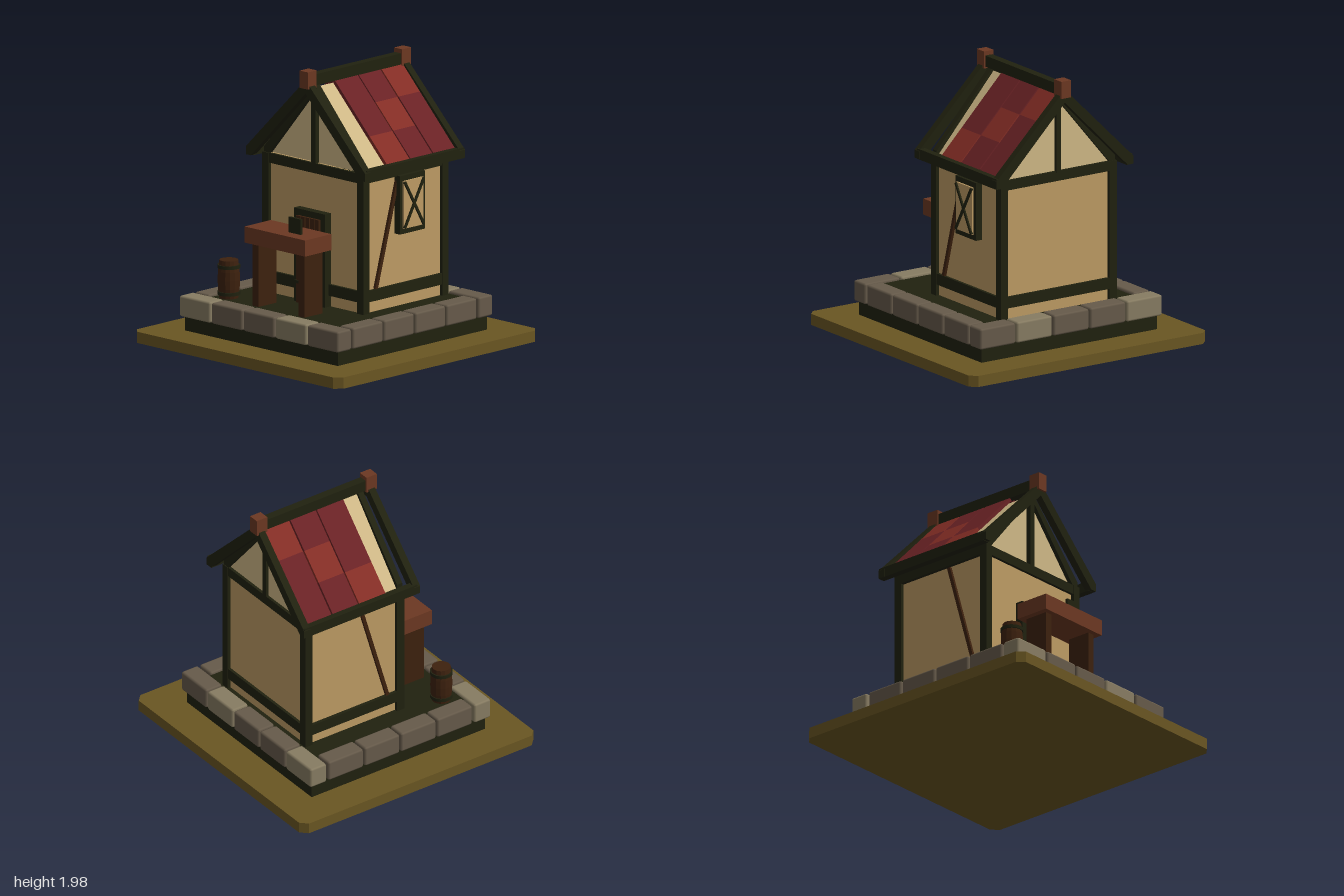
import * as THREE from 'three';
import { RoundedBoxGeometry } from 'three/addons/geometries/RoundedBoxGeometry.js';

const material = (name, color) => {
  const m = new THREE.MeshStandardMaterial({ color });
  m.name = name;
  return m;
};

export function createModel() {
  const model = new THREE.Group();
  model.name = 'timberHouse';

  const earth = material('olive earth', 0x6a5622);
  const timber = material('dark timber', 0x20210f);
  const plaster = material('tan plaster', 0xbd9b64);
  const cream = material('cream plaster', 0xcfb886);
  const stone = material('grey stone', 0x665a4a);
  const paleStone = material('pale stone', 0x877c62);
  const darkRed = material('dark red tile', 0x6a2225);
  const red = material('red tile', 0x842d25);
  const wood = material('reddish wood', 0x6c3822);
  const brown = material('dark brown wood', 0x3d210e);

  const add = (name, geometry, mat, parent = model) => {
    const mesh = new THREE.Mesh(geometry, mat);
    mesh.name = name;
    parent.add(mesh);
    return mesh;
  };
  // Box given by its limits on each axis
  const box = (name, mat, x0, x1, y0, y1, z0, z1, parent) => {
    const mesh = add(name, new THREE.BoxGeometry(x1 - x0, y1 - y0, z1 - z0), mat, parent);
    mesh.position.set((x0 + x1) / 2, (y0 + y1) / 2, (z0 + z1) / 2);
    return mesh;
  };
  // Outline in x and y, extruded from z0 to z1
  const prism = (name, mat, points, z0, z1) => {
    const shape = new THREE.Shape(points.map(([x, y]) => new THREE.Vector2(x, y)));
    const mesh = add(name, new THREE.ExtrudeGeometry(shape, { depth: z1 - z0, bevelEnabled: false }), mat);
    mesh.position.z = z0;
    return mesh;
  };

  // Ground slab with cut corners
  const c = 0.95;
  const slab = prism('groundSlab', earth,
    [[-c, -1], [c, -1], [1, -c], [1, c], [c, 1], [-c, 1], [-1, c], [-1, -c]], 0, 0.08);
  slab.rotation.x = -Math.PI / 2;

  // Plinth, yard floor and the ring of kerb stones
  box('plinth', timber, -0.74, 0.74, 0.08, 0.18, -0.74, 0.74);
  box('yardFloor', timber, -0.635, 0.635, 0.295, 0.31, -0.635, 0.635);
  const kerb = (mat, x, z, w, d) => {
    const mesh = add('kerbStone', new RoundedBoxGeometry(w, 0.15, d, 1, 0.015), mat);
    mesh.position.set(x, 0.255, z);
  };
  for (const s of [-1, 1]) {
    for (let i = 0; i < 5; i++) kerb(i % 3 ? stone : paleStone, (i - 2) * 0.31, s * 0.7, 0.297, 0.138);
    for (let i = 0; i < 4; i++) kerb(stone, s * 0.7, (i - 1.5) * 0.31, 0.135, 0.297);
  }

  // Walls and timber frame
  const front = 0.23, back = -0.615;
  box('walls', plaster, -0.465, 0.465, 0.31, 1.31, -0.59, 0.205);
  for (const s of [-1, 1]) {
    const [xa, xb] = s > 0 ? [0.43, 0.49] : [-0.49, -0.43];
    box('cornerPost', timber, xa, xb, 0.3, 1.31, front - 0.06, front);
    box('cornerPost', timber, xa, xb, 0.3, 1.31, back, back + 0.06);
    for (const [y0, y1] of [[0.39, 0.47], [1.24, 1.31]]) {
      box('sideBeam', timber, xa, xb - (s > 0 ? 0.004 : 0), y0, y1, back + 0.05, front - 0.05);
    }
    // Diagonal brace
    const brace = add('wallBrace', new THREE.BoxGeometry(0.03, 0.79, 0.026), brown);
    brace.position.set(s * 0.47, 0.85, -0.015);
    brace.rotation.x = -0.28;
  }
  for (const [z0, z1] of [[front - 0.05, front - 0.004], [back + 0.004, back + 0.05]]) {
    box('lowerBeam', timber, -0.44, 0.44, 0.39, 0.47, z0, z1);
    box('upperBeam', timber, -0.485, 0.485, 1.24, 1.31, z0, z1);
  }

  // Gable and roof core, with king posts and inner rafters
  prism('gableRoofCore', cream, [[-0.475, 1.31], [0.475, 1.31], [0, 1.85]], -0.59, 0.19);
  const chevron = (name, x, y, top, inX, inY, inTop, z0, z1) => prism(name, timber, [
    [-x, y], [-x, inY], [-inX, inY], [0, inTop], [inX, inY], [x, inY], [x, y], [0, top],
  ], z0, z1);
  chevron('innerRafters', 0.48, 1.35, 1.88, 0.43, 1.31, 1.82, 0.175, 0.22);
  chevron('innerRafters', 0.48, 1.35, 1.88, 0.43, 1.31, 1.82, -0.61, -0.575);
  box('kingPost', timber, -0.02, 0.02, 1.3, 1.83, 0.18, 0.225);
  box('kingPost', timber, -0.02, 0.02, 1.3, 1.83, -0.612, -0.57);

  // Barge boards, eaves, ridge beam and end blocks
  chevron('bargeBoard', 0.578, 1.345, 1.915, 0.53, 1.288, 1.82, 0.25, 0.303);
  chevron('bargeBoard', 0.578, 1.345, 1.915, 0.53, 1.288, 1.82, -0.688, -0.635);
  box('ridgeBeam', timber, -0.03, 0.03, 1.87, 1.95, -0.64, 0.27);
  for (const s of [-1, 1]) {
    const eave = box('eaveBeam', timber, -0.025, 0.025, 1.285, 1.36, -0.685, 0.28);
    eave.position.x = s * 0.55;
  }
  box('ridgeBlock', wood, -0.04, 0.04, 1.857, 1.98, 0.232, 0.32);
  box('ridgeBlock', wood, -0.04, 0.04, 1.857, 1.98, -0.705, -0.615);

  // Roof tiles: three strips of three on each slope
  const pitch = Math.atan2(0.52, 0.51);
  const strips = [[-0.185, 0.04], [-0.41, -0.195], [-0.633, -0.422]];
  for (const s of [-1, 1]) {
    strips.forEach(([z0, z1], col) => {
      for (let row = 0; row < 3; row++) {
        const t = (row + 0.5) / 3;
        const tile = add('roofTile', new THREE.BoxGeometry(0.243, 0.025, z1 - z0),
          row === 2 - col ? red : darkRed);
        tile.position.set(s * (0.015 + 0.51 * t), 1.868 - 0.52 * t, (z0 + z1) / 2);
        tile.rotation.z = -s * pitch;
      }
    });
  }

  // Window on the left wall
  const win = new THREE.Group();
  win.name = 'window';
  win.position.set(0, 1.038, -0.228);
  model.add(win);
  for (const s of [-1, 1]) {
    const za = s > 0 ? 0.095 : -0.123;
    box('windowJamb', timber, 0.46, 0.517, -0.208, 0.208, za, za + 0.028, win);
    const ya = s > 0 ? 0.17 : -0.208;
    box('windowRail', timber, 0.46, 0.517, ya, ya + 0.038, -0.1, 0.1, win);
    const bar = box('windowCrossBar', timber, 0.525, 0.542, -0.19, 0.19, -0.009, 0.009, win);
    bar.rotation.x = s * 0.52;
  }
  box('windowPane', plaster, 0.46, 0.53, -0.17, 0.17, -0.096, 0.096, win);

  // Plank door with frame, straps and handle
  box('doorBacking', timber, -0.115, 0.115, 0.3, 0.93, 0.2, 0.265);
  box('doorLintel', timber, -0.15, 0.15, 0.93, 0.975, 0.2, 0.265);
  box('doorJamb', timber, -0.15, -0.113, 0.3, 0.94, 0.2, 0.265);
  box('doorJamb', timber, 0.113, 0.15, 0.3, 0.94, 0.2, 0.265);
  for (let i = -2; i <= 2; i++) {
    box('doorPlank', brown, i * 0.045 - 0.018, i * 0.045 + 0.018, 0.3, 0.93, 0.26, 0.285);
  }
  for (const y of [0.46, 0.82]) box('doorStrap', timber, -0.112, 0.112, y - 0.011, y + 0.011, 0.28, 0.297);
  box('doorHandle', timber, 0.053, 0.078, 0.605, 0.66, 0.28, 0.315);

  // Table with a small upright plate
  box('tableTop', wood, -0.293, 0.293, 0.76, 0.875, 0.345, 0.607);
  box('tableLeg', brown, -0.25, -0.195, 0.3, 0.77, 0.39, 0.57);
  box('tableLeg', brown, 0.195, 0.25, 0.3, 0.77, 0.39, 0.57);
  box('tablePlate', timber, 0.042, 0.157, 0.87, 0.985, 0.493, 0.513);

  // Barrel
  const barrel = new THREE.Group();
  barrel.name = 'barrel';
  barrel.position.set(-0.54, 0.3, 0.51);
  model.add(barrel);
  const profile = [[0, 0], [0.066, 0], [0.076, 0.08], [0.078, 0.14], [0.076, 0.2], [0.066, 0.28], [0, 0.28]];
  add('barrelBody', new THREE.LatheGeometry(profile.map(([r, y]) => new THREE.Vector2(r, y)), 14), brown, barrel)
    .geometry = new THREE.LatheGeometry(profile.map(([r, y]) => new THREE.Vector2(r, y)), 14).toNonIndexed();
  barrel.children[0].geometry.computeVertexNormals();
  for (const y of [0.045, 0.235]) {
    add('barrelHoop', new THREE.CylinderGeometry(0.08, 0.08, 0.024, 14), timber, barrel).position.y = y;
  }

  return model;
}
